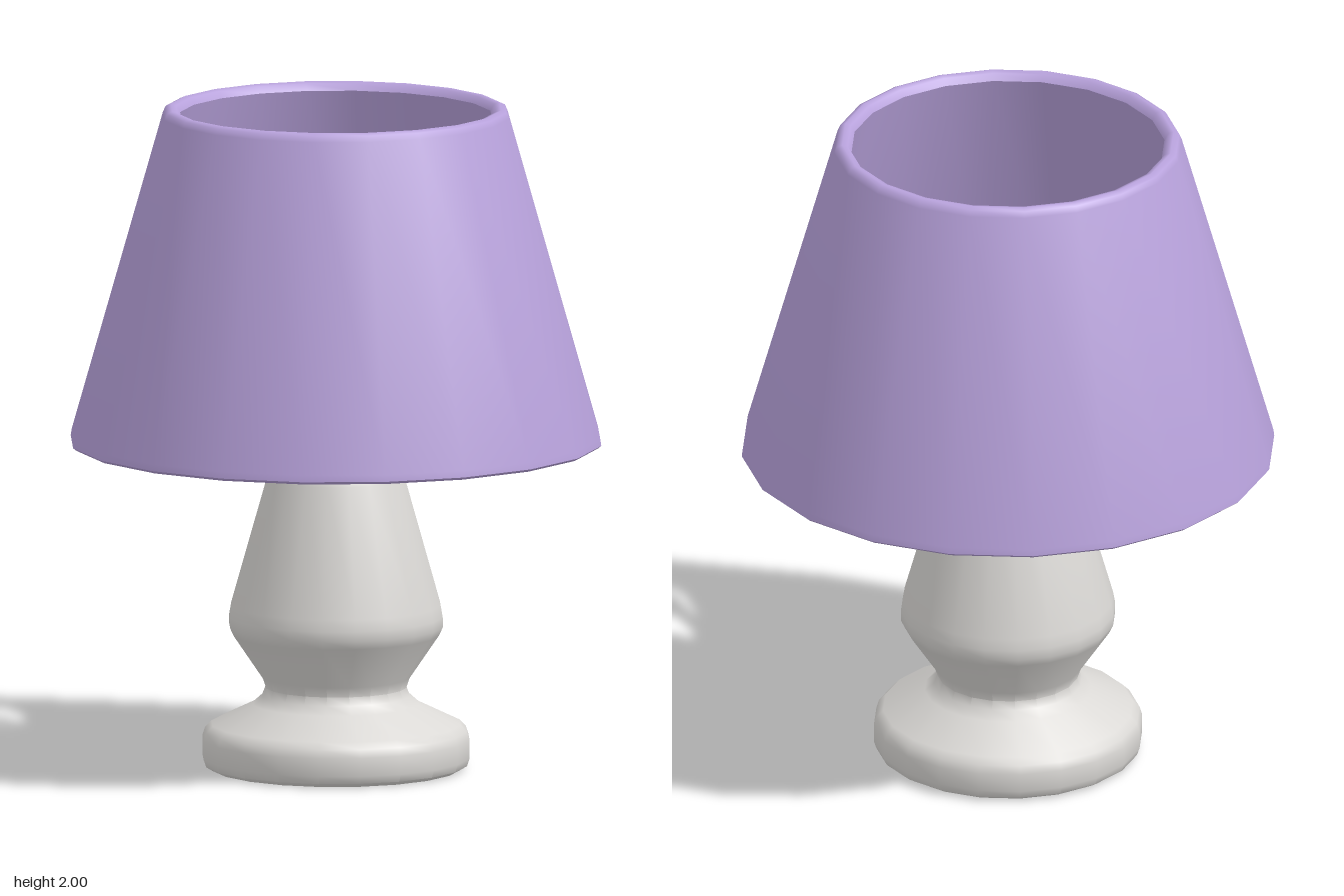
import * as THREE from 'three';
import { toCreasedNormals } from 'three/addons/utils/BufferGeometryUtils.js';

const SIDES = 20;

// Turned part from [radius, height] pairs; soft bends, crisp corners
function turned(name, profile, material, crease) {
  const points = profile.map(([r, y]) => new THREE.Vector2(r, y));
  const geometry = toCreasedNormals(new THREE.LatheGeometry(points, SIDES), crease);
  const mesh = new THREE.Mesh(geometry, material);
  mesh.name = name;
  return mesh;
}

export function createModel() {
  const lamp = new THREE.Group();
  lamp.name = 'tableLamp';

  const fabric = new THREE.MeshStandardMaterial({ color: 0xb8a2dc });
  fabric.name = 'lilac fabric';
  const ceramic = new THREE.MeshStandardMaterial({ color: 0xdad8d5 });
  ceramic.name = 'pale ceramic';
  const metal = new THREE.MeshStandardMaterial({ color: 0x959595 });
  metal.name = 'grey metal';

  // Turned foot and body
  lamp.add(turned('base', [
    [0, 0], [0.375, 0], [0.395, 0.012], [0.403, 0.035], [0.403, 0.09], [0.395, 0.115], [0.375, 0.135],
    [0.25, 0.195], [0.222, 0.22], [0.212, 0.245], [0.222, 0.275],
    [0.31, 0.405], [0.322, 0.43], [0.322, 0.46], [0.316, 0.495],
    [0.207, 0.88], [0.198, 0.905], [0.178, 0.92], [0, 0.92],
  ], ceramic, 0.7));

  // Hollow shade with rounded rims
  lamp.add(turned('shade', [
    [0.765, 0.985], [0.79, 0.982], [0.8, 0.99], [0.797, 1.01],
    [0.522, 1.975], [0.514, 1.993], [0.498, 2], [0.482, 1.995], [0.47, 1.975],
    [0.747, 1.005], [0.752, 0.992], [0.765, 0.985],
  ], fabric, 0.8));

  // Stem up to the bulb
  const stem = new THREE.Mesh(new THREE.CylinderGeometry(0.04, 0.04, 0.52, SIDES), metal);
  stem.name = 'stem';
  stem.position.y = 1.15;
  lamp.add(stem);

  const bulb = new THREE.Mesh(new THREE.SphereGeometry(0.15, SIDES, 14), ceramic);
  bulb.name = 'bulb';
  bulb.position.y = 1.51;
  lamp.add(bulb);

  // Four arms carrying the shade
  for (let i = 0; i < 4; i++) {
    const arm = new THREE.Mesh(new THREE.BoxGeometry(0.72, 0.036, 0.036), metal);
    arm.name = 'shadeArm';
    const angle = (i * Math.PI) / 2;
    arm.position.set(Math.cos(angle) * 0.375, 1.09, -Math.sin(angle) * 0.375);
    arm.rotation.y = angle;
    lamp.add(arm);
  }

  return lamp;
}
